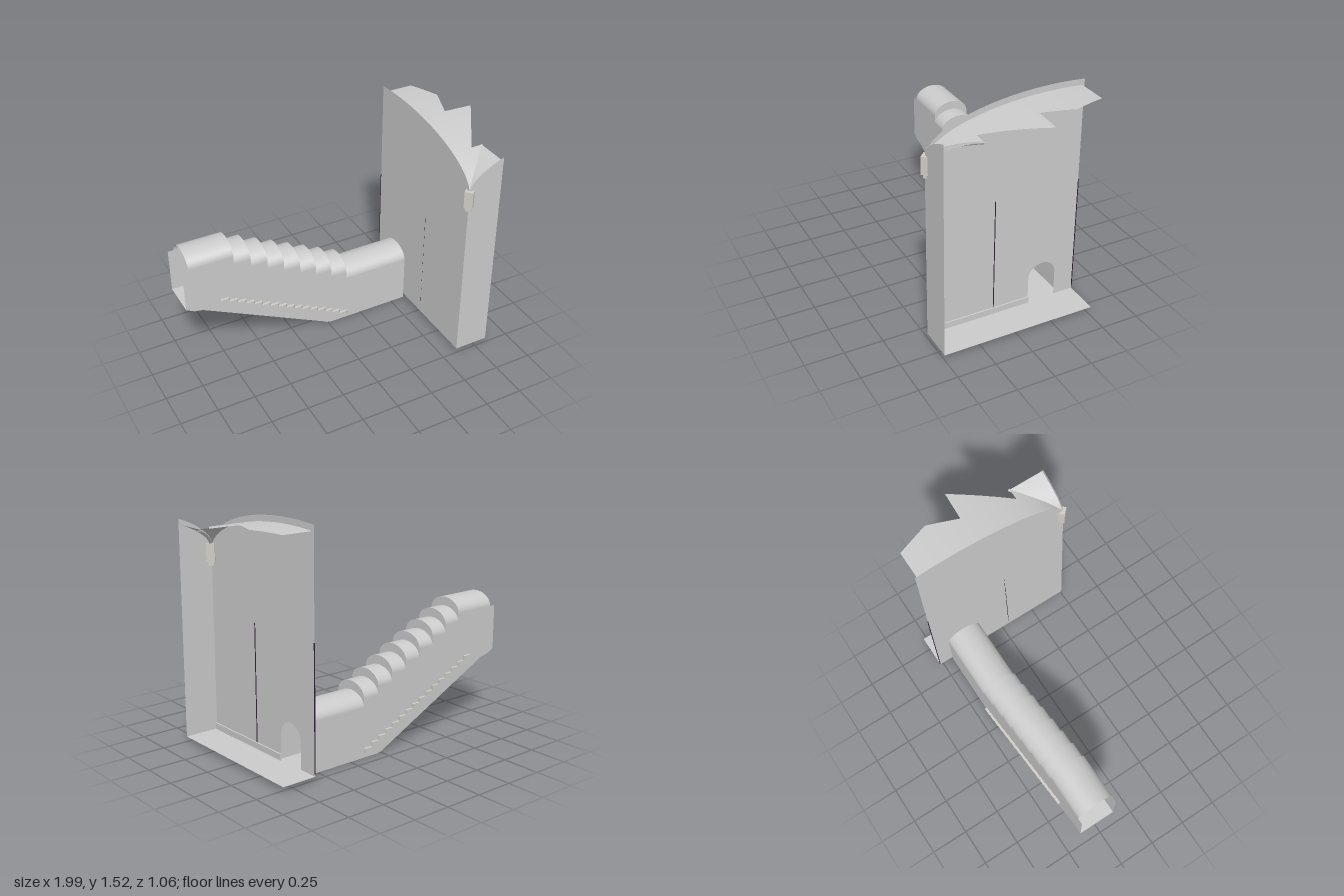
import * as THREE from 'three';
import { ParametricGeometry } from 'three/addons/geometries/ParametricGeometry.js';

const material = (color) => new THREE.MeshStandardMaterial({ color, side: THREE.DoubleSide });

export function createModel() {
  const model = new THREE.Group();
  const grey = material(0xcccccc);
  const stone = material(0xcfcdc4);
  const dark = material(0x33223a);

  const add = (name, geometry, mat = grey, parent = model) => {
    const mesh = new THREE.Mesh(geometry, mat);
    mesh.name = name;
    parent.add(mesh);
    return mesh;
  };
  const group = (name) => {
    const g = new THREE.Group();
    g.name = name;
    model.add(g);
    return g;
  };
  const flat = (points) => new THREE.ShapeGeometry(new THREE.Shape(points.map(([a, b]) => new THREE.Vector2(a, b))));
  // Turns a flat shape so that its first axis runs along z, at the given x
  const acrossZ = (geometry, x) => geometry.rotateY(-Math.PI / 2).translate(x, 0, 0);
  const box = (x0, x1, y0, y1, z0, z1) =>
    new THREE.BoxGeometry(x1 - x0, y1 - y0, z1 - z0).translate((x0 + x1) / 2, (y0 + y1) / 2, (z0 + z1) / 2);
  const slab = (x0, x1, y, z0, z1) =>
    new THREE.PlaneGeometry(x1 - x0, z1 - z0).rotateX(-Math.PI / 2).translate((x0 + x1) / 2, y, (z0 + z1) / 2);

  // ---- Room corner ----
  const wallX = 0.6, endX = 0.83, frontZ = 0.5, backZ = -0.525, floorY = 0.034;
  const arch = (t, base, rise) => base + rise * Math.sqrt(Math.max(0, 1 - ((0.8 - t) / 0.8) ** 2));
  const wallTop = (t) => arch(t, 1.24, 0.276); // t is the distance from the corner
  const vaultY = (t) => arch(t, 1.215, 0.262);
  const room = group('roomCorner');

  // Side wall with an arched top and a doorway notch
  const doorZ = -0.295, doorR = 0.095, doorSpring = 0.205;
  const side = [[backZ, floorY], [doorZ - doorR, floorY]];
  for (let i = 0; i <= 20; i++) {
    const a = Math.PI * (1 - i / 20);
    side.push([doorZ + doorR * Math.cos(a), doorSpring + doorR * Math.sin(a)]);
  }
  side.push([doorZ + doorR, floorY], [frontZ, floorY]);
  for (let i = 0; i <= 40; i++) {
    const t = (frontZ - backZ) * (i / 40) ** 1.6;
    side.push([frontZ - t, wallTop(t)]);
  }
  add('sideWall', acrossZ(flat(side), wallX), grey, room);

  // Front wall, cut off along the room's open side
  const front = [[wallX, floorY], [endX, floorY]];
  for (let i = 16; i >= 0; i--) {
    const t = (endX - wallX) * (i / 16) ** 1.6;
    front.push([wallX + t, wallTop(t)]);
  }
  add('frontWall', flat(front).translate(0, 0, frontZ), grey, room);
  add('roomFloor', slab(wallX, endX, floorY, backZ, frontZ), grey, room);
  add('baseboard', box(wallX, wallX + 0.01, floorY, 0.075, doorZ + doorR, frontZ), grey, room);
  add('wallSeam', box(wallX, wallX + 0.004, 0.075, 0.838, 0.046, 0.05), dark, room);
  add('edgeSeam', box(wallX - 0.002, wallX + 0.004, 0.05, 0.838, backZ - 0.002, backZ + 0.002), dark, room);

  // Broken vault along x: strips between the wall and a jagged edge, then the groin
  const strips = [
    [-0.51, 0.8, -0.3, 0.87], [-0.3, 0.87, -0.1, 0.8], [-0.1, 0.8, -0.09, 0.99],
    [-0.09, 0.99, 0.265, 0.76], [0.265, 0.835, 0.499, 0.601],
  ];
  for (const [z0, x0, z1, x1] of strips) {
    add('mainVault', new ParametricGeometry((u, v, p) => {
      const k = 1 - (1 - v) ** 1.6;
      const z = z0 + (z1 - z0) * k;
      p.set(wallX + (x0 + (x1 - x0) * k - wallX) * u, vaultY(frontZ - z), z);
    }, 4, 16), grey, room);
  }
  // Vault along z, from the front wall to the groin
  add('crossVault', new ParametricGeometry((u, v, p) => {
    const t = 0.001 + 0.234 * v ** 1.6;
    p.set(wallX + t, vaultY(t), frontZ - t * u);
  }, 4, 16), grey, room);

  // Rib under the groin
  const ribPoints = [0.015, 0.03, 0.06, 0.1, 0.15, 0.2, 0.24]
    .map((t) => new THREE.Vector3(wallX + t, vaultY(t) - 0.008, frontZ - t));
  add('groinRib', new THREE.TubeGeometry(new THREE.CatmullRomCurve3(ribPoints), 16, 0.01, 4), grey, room);

  // Corner corbel, set diagonally
  const corbel = group('cornerCorbel');
  corbel.position.set(0.608, 0, 0.491);
  corbel.rotation.y = Math.PI / 4;
  add('corbelBlock', box(-0.027, 0.027, 1.148, 1.262, -0.027, 0.027), stone, corbel);
  add('corbelFoot', box(-0.017, 0.017, 1.122, 1.148, -0.017, 0.017), stone, corbel);

  // ---- Stair passage ----
  const passage = group('stairPassage');
  const midZ = -0.302, half = 0.122, rise = 0.085;
  const bays = 8, bayX = 0.14, bayLen = 0.1, bayDrop = 0.0575;
  const step = (0.14 + 0.66) / (bays - 1);
  const spring0 = 0.325;

  // Vault sections: lower run, climbing bays, upper run
  const sections = [[bayX, wallX, spring0]];
  for (let i = 1; i < bays; i++) sections.push([bayX - i * step, bayX - (i - 1) * step, spring0 + i * bayDrop]);
  sections.push([-0.96, -0.66, spring0 + bays * bayDrop]);

  const archPoints = (y) => {
    const pts = [];
    for (let i = 0; i <= 24; i++) {
      const a = Math.PI * i / 24;
      pts.push([midZ + half * Math.cos(a), y + rise * Math.sin(a)]);
    }
    return pts;
  };
  sections.forEach(([x0, x1, y], i) => {
    add('passageVault', new ParametricGeometry((u, v, p) => {
      const a = Math.PI * v;
      p.set(x0 + (x1 - x0) * u, y + rise * Math.sin(a), midZ + half * Math.cos(a));
    }, 1, 24), grey, passage);
    // Crescent closing the jump to the next higher section
    if (i < sections.length - 1) {
      const crescent = [...archPoints(sections[i + 1][2]), ...archPoints(y).reverse()];
      add('vaultRiser', acrossZ(flat(crescent), x0), grey, passage);
    }
  });

  // Side walls: sloping foot, stepped top
  const wall = [[-1, 0.785], [-1, 0.49], [-0.945, 0.46], [-0.89, 0.45], [-0.04, 0.025], [-0.01, 0.008], [0.03, 0], [wallX, 0]];
  for (const [x0, x1, y] of sections) wall.push([x1, y], [x0, y]);
  for (const s of [-1, 1]) add('passageWall', flat(wall).translate(0, 0, midZ + s * half), grey, passage);

  // Stairs: thin treads and risers that poke slightly through the walls
  const count = 16, topX = -0.77, topY = 0.49, wide = 0.138;
  const tread = (bayX - topX) / count, riser = (topY - floorY) / count;
  for (let i = 0; i < count; i++) {
    const x = bayX - i * tread, y = floorY + (i + 1) * riser;
    add('tread', slab(x - tread, x, y, midZ - wide, midZ + wide), stone, passage);
    add('riser', new THREE.PlaneGeometry(2 * wide, riser).rotateY(Math.PI / 2).translate(x, y - riser / 2, midZ), stone, passage);
  }
  add('lowerFloor', slab(bayX, wallX, floorY, midZ - half, midZ + half), grey, passage);
  add('upperLanding', slab(-1, topX, topY, midZ - half, midZ + half), grey, passage);

  return model;
}
